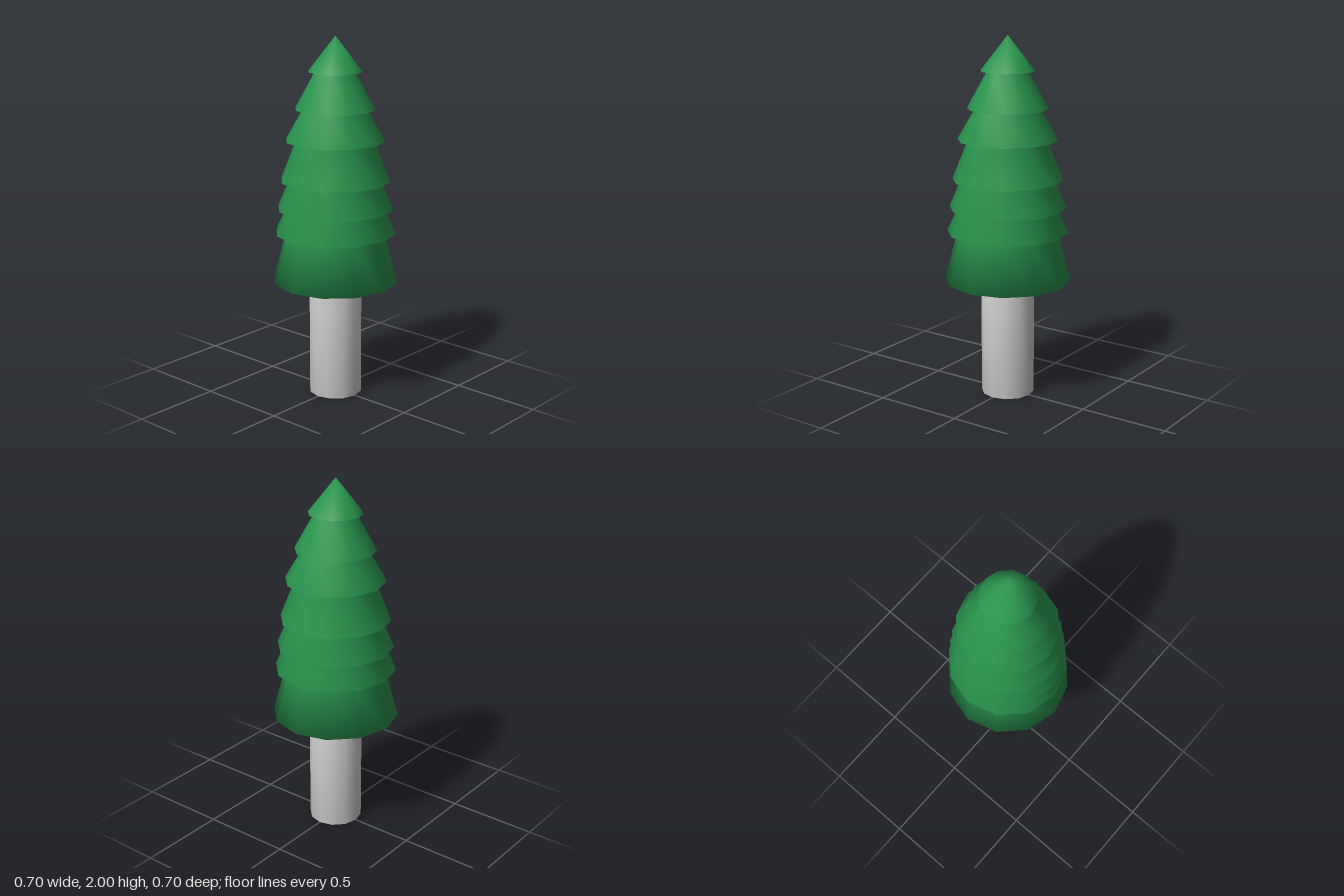
import * as THREE from 'three';
import { mergeVertices } from 'three/addons/utils/BufferGeometryUtils.js';

const SIDES = 12;

// Closed, fully smooth-shaded solid of revolution from [radius, y] points, bottom to top
function turned(name, profile, color) {
  const lathe = new THREE.LatheGeometry(profile.map(([r, y]) => new THREE.Vector2(r, y)), SIDES);
  lathe.deleteAttribute('uv');
  lathe.deleteAttribute('normal');
  const geometry = mergeVertices(lathe, 1e-4);
  geometry.computeVertexNormals();
  const mesh = new THREE.Mesh(geometry, new THREE.MeshStandardMaterial({ color }));
  mesh.name = name;
  return mesh;
}

export function createModel() {
  const group = new THREE.Group();
  group.name = 'pineTree';

  // Trunk
  group.add(turned('trunk', [[0, 0], [0.147, 0], [0.147, 0.655], [0, 0.655]], 0xcccccc));

  // Foliage tiers: [rim height, rim radius, radius where it meets the next tier]
  const tiers = [
    [0.655, 0.348, 0.275],
    [0.93, 0.333, 0.27],
    [1.065, 0.32, 0.255],
    [1.22, 0.302, 0.215],
    [1.44, 0.273, 0.175],
    [1.61, 0.22, 0.11],
    [1.81, 0.147, 0],
  ];
  const profile = [[0, tiers[0][0]]];
  tiers.forEach(([y, rim, neck], i) => {
    const top = i + 1 < tiers.length ? tiers[i + 1][0] : 2;
    profile.push([rim, y], [neck, top]);
  });
  group.add(turned('foliage', profile, 0x2b9950));

  return group;
}
